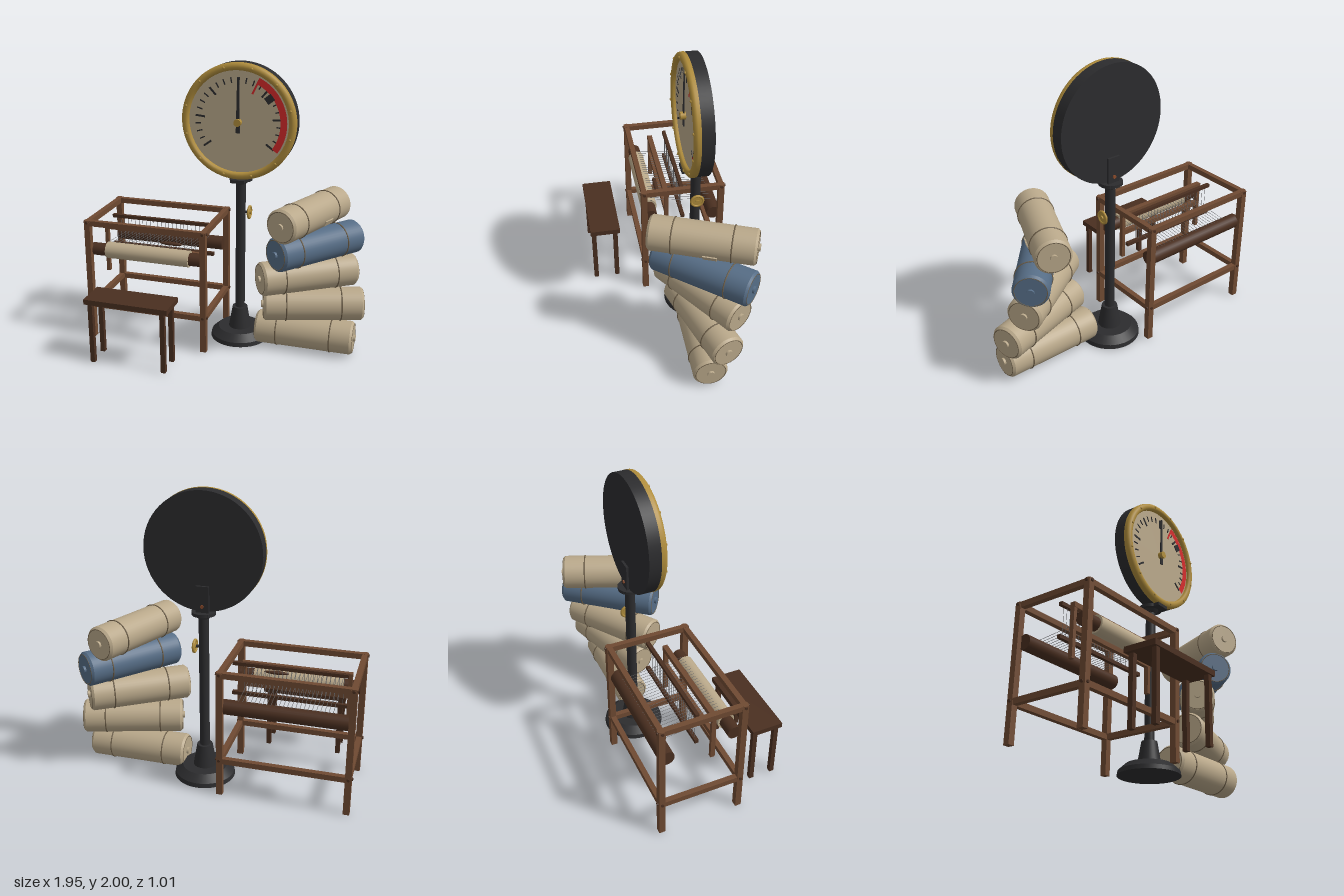
import * as THREE from 'three';

const mat = (name, color) => Object.assign(new THREE.MeshStandardMaterial({ color }), { name });
const M = {
  oak: mat('oak brown', 0x6f4a32),
  walnut: mat('walnut brown', 0x4a2f20),
  canvas: mat('canvas', 0xb9a88a),
  blue: mat('slate blue', 0x566d86),
  brass: mat('brass', 0xb08d3c),
  iron: mat('black iron', 0x2c2c2e),
  red: mat('warning red', 0xd42a2a),
  thread: mat('thread grey', 0x6a6a6c),
  rope: mat('rope', 0x6e5f49),
  copper: mat('copper', 0x8a4a2a),
};

function add(parent, name, geo, material, x = 0, y = 0, z = 0) {
  const m = new THREE.Mesh(geo, material);
  m.name = name;
  m.position.set(x, y, z);
  parent.add(m);
  return m;
}
const box = (p, n, m, w, h, d, x, y, z) => add(p, n, new THREE.BoxGeometry(w, h, d), m, x, y, z);
const cyl = (p, n, m, rt, rb, h, x, y, z, seg = 32) =>
  add(p, n, new THREE.CylinderGeometry(rt, rb, h, seg), m, x, y, z);
function cylX(p, n, m, r, len, x, y, z, seg = 24) {
  const c = cyl(p, n, m, r, r, len, x, y, z, seg);
  c.rotation.z = -Math.PI / 2;
  return c;
}
function cylZ(p, n, m, r, len, x, y, z, seg = 24) {
  const c = cyl(p, n, m, r, r, len, x, y, z, seg);
  c.rotation.x = Math.PI / 2;
  return c;
}
function group(parent, name, x = 0, y = 0, z = 0) {
  const g = new THREE.Group();
  g.name = name;
  g.position.set(x, y, z);
  parent.add(g);
  return g;
}
// Thin rod between two points
function rod(p, n, m, a, b, r) {
  const va = new THREE.Vector3(...a), d = new THREE.Vector3(...b).sub(va);
  const c = cyl(p, n, m, r, r, d.length(), 0, 0, 0, 4);
  c.position.copy(va).addScaledVector(d, 0.5);
  c.quaternion.setFromUnitVectors(new THREE.Vector3(0, 1, 0), d.normalize());
}

function buildLoom(root) {
  const g = group(root, 'loom');
  const X = [-0.957, -0.107], Z = [-0.425, 0.125];
  const cx = -0.532, cz = -0.15;
  for (const x of X) {
    for (const z of Z) {
      box(g, 'loomPost', M.oak, 0.042, 0.89, 0.042, x, 0.445, z);
      cyl(g, 'postCap', M.oak, 0.025, 0.025, 0.02, x, 0.885, z, 12);
      for (const y of [0.26, 0.88]) {
        const s = Math.sign(z - cz);
        cylZ(g, 'framePeg', M.walnut, 0.01, 0.012, x, y, z + s * 0.023, 10);
        cylX(g, 'framePeg', M.walnut, 0.01, 0.012, x + Math.sign(x - cx) * 0.023, y, z, 10);
      }
    }
    for (const y of [0.255, 0.875]) box(g, 'sideRail', M.oak, 0.036, 0.038, 0.55, x, y, cz);
  }
  for (const z of Z)
    for (const y of [0.255, 0.875]) box(g, 'crossRail', M.oak, 0.85, 0.038, 0.036, cx, y, z);

  // Beams and the woven roll
  cylX(g, 'warpBeam', M.walnut, 0.05, 0.83, cx, 0.63, -0.38);
  cylX(g, 'clothBeam', M.walnut, 0.045, 0.83, cx, 0.665, 0.075);
  cylX(g, 'clothRoll', M.canvas, 0.058, 0.615, -0.528, 0.667, 0.075, 32);

  // Swinging beater
  for (const x of [-0.89, -0.172]) box(g, 'beaterArm', M.oak, 0.025, 0.34, 0.03, x, 0.63, -0.045);
  box(g, 'beaterTop', M.oak, 0.745, 0.034, 0.036, -0.531, 0.8, -0.045);
  box(g, 'beaterSill', M.oak, 0.7, 0.035, 0.03, -0.531, 0.655, -0.045);

  // Heddle bars, heddles and warp threads
  for (const y of [0.845, 0.63]) box(g, 'heddleBar', M.walnut, 0.77, 0.024, 0.026, -0.505, y, -0.155);
  for (let i = 0; i < 24; i++) {
    const t = i / 23, x = -0.83 + 0.61 * t;
    rod(g, 'warpThread', M.thread, [x, 0.68, -0.38], [x, 0.725, 0.06], 0.0016);
    const hx = -0.86 + 0.66 * t;
    rod(g, 'heddle', M.thread, [hx, 0.63, -0.155], [hx, 0.855, -0.155], 0.0016);
  }
  const shuttle = add(g, 'shuttle', new THREE.SphereGeometry(1, 20, 12), M.walnut, -0.385, 0.735, 0);
  shuttle.scale.set(0.087, 0.013, 0.016);
}

function buildBench(root) {
  const g = group(root, 'bench');
  box(g, 'benchSeat', M.walnut, 0.596, 0.036, 0.218, -0.532, 0.453, 0.398);
  for (const x of [-0.79, -0.274])
    for (const z of [0.322, 0.481]) box(g, 'benchLeg', M.walnut, 0.032, 0.436, 0.032, x, 0.218, z);
}

function buildStand(root) {
  const g = group(root, 'gaugeStand', 0.065, 0, -0.2);
  cyl(g, 'baseFoot', M.iron, 0.205, 0.21, 0.03, 0, 0.015, 0, 40);
  cyl(g, 'baseDome', M.iron, 0.155, 0.205, 0.045, 0, 0.0525, 0, 40);
  cyl(g, 'baseSocket', M.iron, 0.053, 0.08, 0.155, 0, 0.152, 0);
  cyl(g, 'pole', M.iron, 0.034, 0.034, 1.02, 0, 0.69, 0);
  cyl(g, 'poleCollar', M.iron, 0.055, 0.04, 0.025, 0, 1.175, 0);
  cyl(g, 'topFlange', M.iron, 0.08, 0.08, 0.022, 0, 1.197, 0);
  box(g, 'flangeTongue', M.iron, 0.1, 0.022, 0.17, 0, 1.197, 0.02);
  box(g, 'backBracket', M.iron, 0.09, 0.18, 0.016, 0, 1.295, -0.03);
  cylZ(g, 'bracketBolt', M.copper, 0.012, 0.01, 0, 1.25, -0.041, 12);
  // Hand wheel on the side
  cylX(g, 'valveStem', M.iron, 0.01, 0.05, 0.045, 0.955, 0, 12);
  const wheel = add(g, 'valveWheel', new THREE.TorusGeometry(0.04, 0.009, 10, 28), M.brass, 0.063, 0.955, 0);
  wheel.rotation.y = Math.PI / 2;
  cylX(g, 'valveDisc', M.brass, 0.038, 0.008, 0.063, 0.955, 0);
  cylX(g, 'valveHub', M.brass, 0.014, 0.022, 0.065, 0.955, 0, 12);
}

function buildGauge(root) {
  const g = group(root, 'gauge', 0.065, 1.605, 0);
  cylZ(g, 'gaugeCase', M.iron, 0.393, 0.087, 0, 0, -0.1785, 64);
  // Bezel turned from a rounded profile
  const prof = [[0.345, -0.14], [0.345, -0.112], [0.352, -0.1], [0.365, -0.095], [0.38, -0.098], [0.392, -0.108], [0.395, -0.12], [0.395, -0.14]];
  const bezel = add(g, 'bezel', new THREE.LatheGeometry(prof.map(([r, z]) => new THREE.Vector2(r, z)), 64), M.brass);
  bezel.material.side = THREE.DoubleSide;
  bezel.rotation.x = Math.PI / 2;
  add(g, 'dialFace', new THREE.CircleGeometry(0.35, 64), M.canvas, 0, 0, -0.125);
  for (let i = 0; i < 12; i++) {
    const a = (i + 0.5) * Math.PI / 6;
    const s = add(g, 'bezelRivet', new THREE.SphereGeometry(0.009, 10, 8), M.brass, 0.37 * Math.cos(a), 0.37 * Math.sin(a), -0.095);
    s.scale.z = 0.7;
  }
  // Radial mark on the dial at a given angle
  const mark = (n, m, deg, r0, r1, w, z) => {
    const a = deg * Math.PI / 180, r = (r0 + r1) / 2;
    box(g, n, m, r1 - r0, w, 0.004, r * Math.cos(a), r * Math.sin(a), z).rotation.z = a;
  };
  for (let i = 0; i <= 24; i++) {
    const major = i % 4 === 0;
    mark(major ? 'majorTick' : 'minorTick', M.iron, 216 - i * 10.5, major ? 0.235 : 0.262, 0.3, major ? 0.013 : 0.008, -0.123);
  }
  const d = Math.PI / 180;
  add(g, 'redZone', new THREE.RingGeometry(0.287, 0.332, 40, 1, -36 * d, 101 * d), M.red, 0, 0, -0.119);
  mark('redLimitMark', M.red, 64, 0.215, 0.32, 0.013, -0.12);
  mark('dialSmudge', M.iron, 38, 0.24, 0.295, 0.05, -0.118);
  // Needle and hub
  const s = new THREE.Shape([[-0.014, -0.072], [0.014, -0.072], [0.012, 0], [0.006, 0.3], [-0.006, 0.3], [-0.012, 0]].map(p => new THREE.Vector2(...p)));
  add(g, 'needle', new THREE.ExtrudeGeometry(s, { depth: 0.007, bevelEnabled: false }), M.iron, 0, 0, -0.112);
  cylZ(g, 'needleHub', M.brass, 0.025, 0.035, 0, 0, -0.104);
}

// Bound roll with chamfered ends, rope bands and end plugs
function buildRoll(root, x, y, z, yaw, material, tag) {
  const g = group(root, 'boundRoll', x, y, z);
  g.rotation.y = yaw * Math.PI / 180;
  const R = 0.117, H = 0.345;
  cylX(g, 'rollBody', material, R, 2 * H - 0.03, 0, 0, 0, 40);
  for (const s of [-1, 1]) {
    const rim = cyl(g, 'rollRim', material, R - 0.012, R, 0.015, s * (H - 0.0075), 0, 0, 40);
    rim.rotation.z = -s * Math.PI / 2;
    const seam = add(g, 'endSeam', new THREE.TorusGeometry(R - 0.016, 0.0025, 6, 40), M.rope, s * H, 0, 0);
    seam.rotation.y = Math.PI / 2;
    cylX(g, 'endPlug', material, 0.024, 0.02, s * (H + 0.005), 0, 0, 16);
    const band = add(g, 'ropeBand', new THREE.TorusGeometry(R + 0.001, 0.0045, 8, 40), M.rope, s * 0.19, 0, 0);
    band.rotation.y = Math.PI / 2;
  }
  if (tag) box(g, 'rollTag', M.canvas, 0.09, 0.035, 0.008, 0.06, -0.05, 0.112).rotation.x = 0.4;
}

export function createModel() {
  const root = new THREE.Group();
  root.name = 'weavingWorkshop';
  buildLoom(root);
  buildBench(root);
  buildStand(root);
  buildGauge(root);
  const rolls = [
    [0.557, 0.119, -0.147, 0, M.canvas],
    [0.607, 0.345, -0.147, 17, M.canvas],
    [0.56, 0.567, -0.143, 33.5, M.canvas],
    [0.614, 0.785, -0.143, 50, M.blue],
    [0.565, 1.003, -0.143, 67.5, M.canvas, true],
  ];
  for (const r of rolls) buildRoll(root, ...r);
  return root;
}
